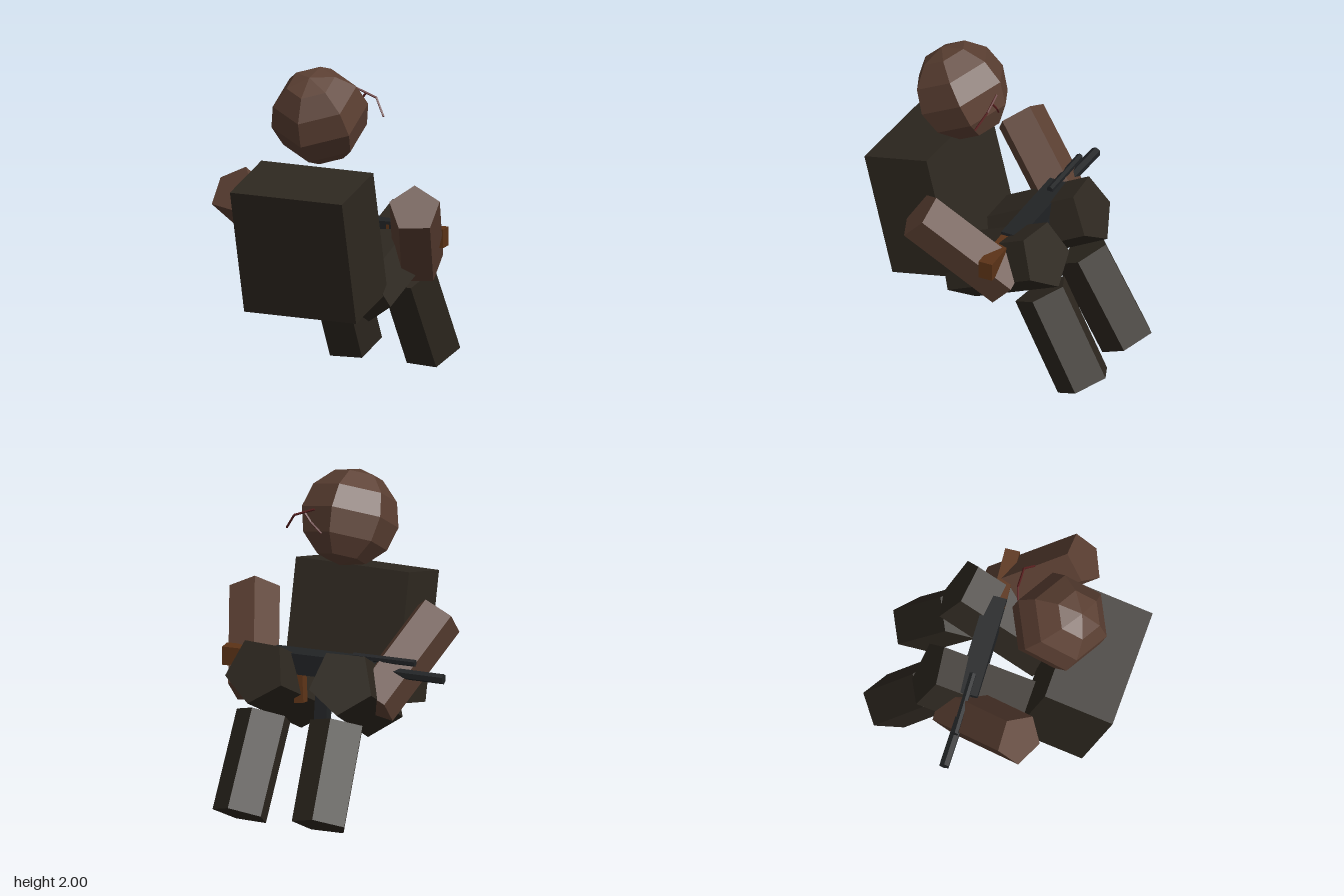
import * as THREE from 'three';

const MID = 0.04; // symmetry plane of the figure
const mat = (color) => new THREE.MeshStandardMaterial({ color, flatShading: true });
const V = (a) => new THREE.Vector3(...a);

export function createModel() {
  const model = new THREE.Group();
  const skin = mat(0x5c4033);
  const cloth = mat(0x2e2820);
  const metal = mat(0x212325);
  const wood = mat(0x5c3317);
  const red = mat(0x5a2020);

  function add(parent, name, geometry, material, pos = [0, 0, 0], rot = [0, 0, 0]) {
    const mesh = new THREE.Mesh(geometry, material);
    mesh.name = name;
    mesh.position.set(...pos);
    mesh.rotation.set(...rot);
    parent.add(mesh);
    return mesh;
  }

  // Prism between two points; one of its corners points along "corner"
  function prism(parent, name, from, to, radius, sides, corner, material) {
    const a = V(from), b = V(to);
    const y = b.clone().sub(a);
    const length = y.length();
    y.normalize();
    const z = V(corner);
    z.addScaledVector(y, -z.dot(y)).normalize();
    const x = new THREE.Vector3().crossVectors(y, z);
    const mesh = add(parent, name, new THREE.CylinderGeometry(radius, radius, length, sides), material);
    mesh.quaternion.setFromRotationMatrix(new THREE.Matrix4().makeBasis(x, y, z));
    mesh.position.copy(a).add(b).multiplyScalar(0.5);
  }

  // Leaning torso and head
  add(model, 'torso', new THREE.BoxGeometry(0.75, 0.8, 0.444), cloth, [MID, 0.948, 0.497], [0.2465, 0, 0]);
  add(model, 'head', new THREE.SphereGeometry(0.3, 6, 6).rotateY(Math.PI / 2), skin,
    [MID, 1.7, 0.345], [0.5, 0, 0]);

  // Limbs: five-sided prisms, x measured from the symmetry plane
  for (const [side, s] of [['left', 1], ['right', -1]]) {
    const limb = (part, from, to, radius, corner, material) => {
      const flip = ([x, y, z]) => [MID + s * x, y, z];
      prism(model, side + part, flip(from), flip(to), radius, 5, [s * corner[0], corner[1], corner[2]], material);
    };
    limb('Arm', [0.61, 1.173, 0.295], [0.393, 0.723, -0.195], 0.16, [-0.045, 0.112, -0.095], skin);
    limb('Thigh', [0.21, 0.588, 0.218], [0.285, 0.908, -0.397], 0.2075, [0.01, -0.188, -0.088], cloth);
    limb('Shin', [0.245, 0.62, -0.348], [0.265, 0.07, -0.655], 0.176, [0.015, 0.085, -0.155], cloth);
  }

  // Rifle lying across the lap, muzzle toward -x
  const rifle = new THREE.Group();
  rifle.name = 'rifle';
  rifle.position.set(0, 0.915, -0.135);
  rifle.rotation.y = 0.05;
  model.add(rifle);
  add(rifle, 'receiver', new THREE.BoxGeometry(0.65, 0.13, 0.13), metal, [-0.005, 0, 0]);
  prism(rifle, 'barrel', [-0.79, 0, -0.012], [-0.3, 0, 0], 0.032, 6, [0, 1, 0], metal);
  prism(rifle, 'gasTube', [-0.6, 0.075, 0], [-0.2, 0.075, 0], 0.022, 6, [0, 1, 0], metal);
  add(rifle, 'stock', new THREE.BoxGeometry(0.37, 0.115, 0.09), wood, [0.455, -0.012, 0.015], [0, 0.03, 0]);
  add(rifle, 'magazine', new THREE.BoxGeometry(0.08, 0.33, 0.08), metal, [-0.025, -0.2, -0.05], [0.15, 0, 0]);
  add(rifle, 'grip', new THREE.BoxGeometry(0.06, 0.2, 0.07), wood, [0.13, -0.14, -0.04], [0.15, 0, -0.1]);

  // Loose band tails behind the head
  const tails = [
    [[0.14, 1.82, 0.05], [0.27, 1.77, 0.04], [0.34, 1.67, 0.085]],
    [[0.2, 1.79, 0.045], [0.16, 1.74, 0.04], [0.1, 1.67, 0.06]],
  ];
  for (const tail of tails) {
    for (let i = 0; i < 2; i++) prism(model, 'bandTail', tail[i], tail[i + 1], 0.007, 4, [0, 0, 1], red);
  }
  return model;
}
